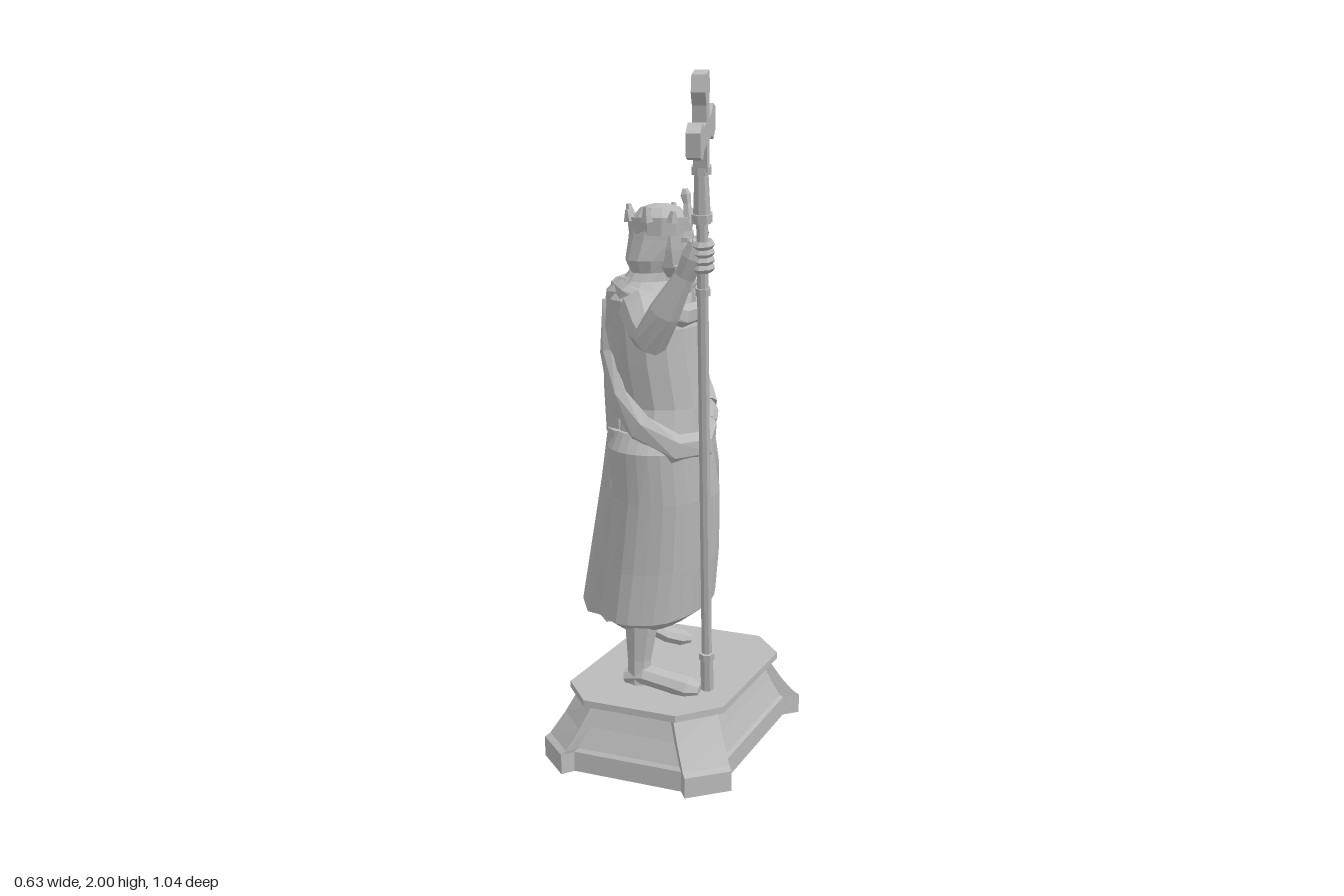
import * as THREE from 'three';

const stone = new THREE.MeshStandardMaterial({ color: 0xbababa });
stone.name = 'grey stone';
const V = (x, y, z) => new THREE.Vector3(x, y, z);

export function createModel() {
  const model = new THREE.Group();

  // Adds a faceted mesh
  function add(name, geometry, parent = model) {
    const g = geometry.index ? geometry.toNonIndexed() : geometry;
    g.computeVertexNormals();
    const mesh = new THREE.Mesh(g, stone);
    mesh.name = name;
    parent.add(mesh);
    return mesh;
  }

  // Skins a list of equal-sized rings and caps both ends
  function loft(rings) {
    const pos = [], n = rings[0].length;
    const tri = (...p) => p.forEach(v => pos.push(v.x, v.y, v.z));
    const middle = r => r.reduce((s, p) => s.add(p), V(0, 0, 0)).divideScalar(n);
    const first = rings[0], last = rings[rings.length - 1];
    const c0 = middle(first), c1 = middle(last);
    for (let i = 0; i < n; i++) {
      const j = (i + 1) % n;
      tri(c0, first[i], first[j]);
      for (let r = 0; r < rings.length - 1; r++) {
        const a = rings[r], b = rings[r + 1];
        tri(a[i], b[i], a[j]);
        tri(a[j], b[i], b[j]);
      }
      tri(c1, last[j], last[i]);
    }
    const g = new THREE.BufferGeometry();
    g.setAttribute('position', new THREE.Float32BufferAttribute(pos, 3));
    return g;
  }

  // Stacked ellipses: [y, cx, cz, rx, rz, pleat depth, hem tilt]
  function stack(sections, n = 14, folds = 7) {
    return loft(sections.map(([y, cx, cz, rx, rz, pleat = 0, tilt = 0]) =>
      Array.from({ length: n }, (_, i) => {
        const a = i / n * Math.PI * 2, k = 1 - pleat * (0.5 - 0.5 * Math.cos(a * folds));
        return V(cx + rx * k * Math.cos(a), y - tilt * Math.sin(a), cz + rz * k * Math.sin(a));
      })));
  }

  // Limb through [x, y, z, radius]; flat scales it along the second axis
  function limb(points, n = 8, flat = 1, side = V(1, 0, 0)) {
    const p = points.map(q => V(q[0], q[1], q[2]));
    return loft(p.map((c, i) => {
      const dir = p[Math.min(i + 1, p.length - 1)].clone().sub(p[Math.max(i - 1, 0)]).normalize();
      const v = side.clone().cross(dir).normalize();
      const u = dir.clone().cross(v);
      return Array.from({ length: n }, (_, k) => {
        const a = k / n * Math.PI * 2, r = points[i][3];
        return c.clone().addScaledVector(u, r * flat * Math.cos(a)).addScaledVector(v, r * Math.sin(a));
      });
    }));
  }

  // Plinth: hollow, with corner buttresses and a chamfered top plate
  const foot = [[0.26, 0.265], [0.30, 0.305], [0.195, 0.403], [0.17, 0.367]];
  const neck = [[0.205, 0.205], [0.222, 0.22], [0.128, 0.33], [0.11, 0.31]];
  const plate = [[0.247, 0.2], [0.247, 0.235], [0.145, 0.353], [0.11, 0.353]];
  function outline(corner, y, s = 1) {
    const out = [];
    for (const [sx, sz] of [[1, 1], [-1, 1], [-1, -1], [1, -1]]) {
      const c = sx * sz > 0 ? corner : [...corner].reverse();
      c.forEach(([x, z]) => out.push(V(-0.01 + sx * x * s, y, -0.118 + sz * z * s)));
    }
    return out;
  }
  const blend = t => foot.map((p, i) => p.map((v, k) => v + (neck[i][k] - v) * t));
  add('plinth', loft([
    outline(neck, 0.19, 0.93), outline(foot, 0, 0.94), outline(foot, 0), outline(foot, 0.06),
    outline(blend(0.15), 0.07), outline(blend(0.58), 0.13), outline(neck, 0.2),
    outline(plate, 0.2), outline(plate, 0.22)]));

  // Skirt with a tucked hem
  add('skirt', stack([
    [0.425, -0.06, -0.085, 0.125, 0.18, 0, 0.025], [0.455, -0.06, -0.093, 0.17, 0.232, 0.03, 0.025],
    [0.6, -0.04, -0.08, 0.17, 0.22, 0.04, 0.015], [0.8, -0.015, -0.05, 0.157, 0.2, 0.03],
    [0.95, -0.018, -0.01, 0.15, 0.17], [1.0, -0.018, -0.015, 0.133, 0.145]], 28));

  // Trailing cloak: fans out from the waist to an angular hem
  const hem = [
    [-0.04, 0.45, 0.06], [-0.07, 0.44, 0.12], [-0.14, 0.42, 0.105], [-0.185, 0.42, 0.055], [-0.24, 0.415, 0.03], [-0.295, 0.425, -0.05],
    [-0.265, 0.375, -0.11], [-0.258, 0.36, -0.19], [-0.185, 0.4, -0.165], [-0.15, 0.43, -0.2], [-0.08, 0.45, -0.15], [-0.04, 0.45, -0.06]];
  add('cloakLower', loft([0, 0.35, 0.7, 1].map(t => hem.map(([x, y, z], i) => {
    const a = (i + 0.5) / 12 * Math.PI * 2;
    return V(x, y, z).lerp(V(-0.095 + 0.08 * Math.cos(a), 1, -0.03 + 0.13 * Math.sin(a)), t);
  }))));
  add('hipDrape', stack([
    [0.72, -0.01, -0.21, 0.1, 0.11, 0.12], [0.86, 0.01, -0.16, 0.1, 0.11, 0.08],
    [1.0, 0.01, -0.1, 0.1, 0.085]], 14));

  // Torso and upper garments
  add('torso', stack([
    [0.96, -0.015, -0.015, 0.13, 0.145], [1.07, -0.015, -0.035, 0.13, 0.14], [1.2, -0.03, -0.025, 0.13, 0.148],
    [1.3, -0.035, -0.02, 0.128, 0.155], [1.38, -0.05, -0.015, 0.11, 0.155], [1.43, -0.05, -0.01, 0.075, 0.1],
    [1.5, -0.02, 0.005, 0.045, 0.05]], 14));
  add('cloakUpper', stack([
    [0.98, -0.11, -0.05, 0.08, 0.125], [1.1, -0.115, -0.055, 0.085, 0.125], [1.3, -0.115, -0.05, 0.085, 0.13],
    [1.4, -0.1, -0.03, 0.075, 0.13], [1.44, -0.08, -0.01, 0.05, 0.09]], 12));
  const up = V(0, 1, 0);
  add('collar', limb([
    [-0.13, 1.41, 0.04, 0.02], [-0.07, 1.395, 0.11, 0.022], [0.02, 1.36, 0.112, 0.022], [0.078, 1.335, 0.045, 0.022],
    [0.08, 1.335, -0.05, 0.022], [0.03, 1.365, -0.125, 0.024], [-0.06, 1.4, -0.14, 0.026], [-0.13, 1.41, -0.06, 0.02]], 6, 1.5, up));
  add('shoulderKnot', new THREE.IcosahedronGeometry(0.05, 1)).position.set(0.0, 1.41, -0.12);
  add('sash', limb([
    [-0.155, 1.37, 0.03, 0.02], [-0.16, 1.22, 0.04, 0.022], [-0.105, 1.1, 0.09, 0.025], [-0.02, 1.02, 0.125, 0.028],
    [0.08, 0.965, 0.11, 0.028], [0.128, 0.96, 0.0, 0.026], [0.1, 0.985, -0.1, 0.026], [0.0, 1.0, -0.16, 0.024]], 6, 1.6, up));

  // Arms
  add('rightArm', limb([
    [-0.045, 1.355, 0.07, 0.066], [0.0, 1.345, 0.15, 0.06], [0.05, 1.315, 0.235, 0.051], [0.085, 1.305, 0.285, 0.048],
    [0.13, 1.38, 0.298, 0.044], [0.19, 1.48, 0.308, 0.027], [0.215, 1.53, 0.31, 0.032], [0.228, 1.57, 0.315, 0.022]], 8, 1, V(1, 0.2, -0.8)));
  add('leftArm', limb([
    [-0.06, 1.36, -0.11, 0.075], [-0.07, 1.37, -0.18, 0.07], [-0.09, 1.29, -0.25, 0.06], [-0.09, 1.2, -0.295, 0.048],
    [-0.045, 1.13, -0.298, 0.047], [0.02, 1.06, -0.265, 0.031], [0.04, 1.03, -0.24, 0.03]], 8));
  add('leftHand', limb([
    [0.025, 1.04, -0.255, 0.03], [0.055, 1.01, -0.225, 0.036], [0.075, 1.0, -0.18, 0.028], [0.085, 1.0, -0.15, 0.014]], 6, 0.7));

  // Staff, collars and cross along a leaning axis
  const base = V(0.145, 0.225, 0.015), tip = V(0.272, 2.0, 0.408);
  const axis = tip.clone().sub(base).normalize();
  const at = y => base.clone().lerp(tip, (y - base.y) / (tip.y - base.y));
  const rod = (name, y0, y1, r0, r1 = r0) =>
    add(name, limb([[...at(y0).toArray(), r0], [...at(y1).toArray(), r1]], 8));
  rod('staff', 0.225, 1.75, 0.016);
  rod('staffFoot', 0.225, 0.34, 0.02);
  rod('staffFootRing', 0.33, 0.35, 0.025);
  rod('staffRing', 1.43, 1.45, 0.021);
  rod('staffSocket', 1.62, 1.75, 0.025, 0.019);
  rod('staffSocketRing', 1.625, 1.645, 0.029);
  rod('staffTopRing', 1.745, 1.765, 0.027);
  const shape = new THREE.Shape();
  for (let k = 0; k < 4; k++) {
    const arm = k === 2 ? [[0.028, 0.028], [0.022, 0.1], [-0.022, 0.1]]
      : [[0.028, 0.028], [0.028, 0.07], [0.046, 0.105], [0.03, 0.145], [-0.03, 0.145], [-0.046, 0.105], [-0.028, 0.07]];
    arm.forEach(([x, y], i) => {
      const c = Math.cos(k * Math.PI / 2), s = Math.sin(k * Math.PI / 2);
      const q = [x * c - y * s, x * s + y * c];
      if (k + i) shape.lineTo(...q); else shape.moveTo(...q);
    });
  }
  const cross = new THREE.ExtrudeGeometry(shape, { depth: 0.036, bevelEnabled: false }).translate(0, 0, -0.018);
  const normal = V(0.25, 0, 0.968).cross(axis).normalize();
  const across = axis.clone().cross(normal);
  cross.applyMatrix4(new THREE.Matrix4().makeBasis(across, axis, normal).setPosition(at(1.85)));
  add('cross', cross);

  // Right fist: four fingers wrapped around the staff
  for (let i = 0; i < 4; i++) {
    const finger = add('rightFinger', new THREE.TorusGeometry(0.022, 0.012, 5, 8));
    finger.position.copy(at(1.505 + i * 0.02));
    finger.quaternion.setFromUnitVectors(V(0, 0, 1), axis);
  }
  add('rightThumb', limb([[0.215, 1.53, 0.3, 0.016], [0.235, 1.575, 0.295, 0.014], [0.25, 1.6, 0.31, 0.009]], 5));

  // Legs and bare feet
  add('rightLeg', limb([[-0.03, 0.55, 0.06, 0.06], [-0.045, 0.42, 0.065, 0.052], [-0.05, 0.31, 0.07, 0.037], [-0.05, 0.235, 0.07, 0.037]]));
  add('rightFoot', limb([
    [-0.09, 0.25, 0.075, 0.03], [-0.03, 0.262, 0.07, 0.042], [0.05, 0.245, 0.06, 0.042], [0.1, 0.235, 0.055, 0.046], [0.135, 0.23, 0.05, 0.025]], 8, 0.75, up));
  add('leftLeg', limb([[-0.08, 0.55, -0.2, 0.06], [-0.12, 0.42, -0.225, 0.048], [-0.17, 0.34, -0.25, 0.033], [-0.185, 0.3, -0.25, 0.034]]));
  add('leftFoot', limb([
    [-0.21, 0.31, -0.235, 0.028], [-0.17, 0.285, -0.26, 0.037], [-0.12, 0.25, -0.295, 0.04], [-0.08, 0.237, -0.32, 0.04], [-0.05, 0.232, -0.335, 0.02]], 8, 0.65, up));

  // Head with hair and beard
  const head = new THREE.Group();
  head.name = 'head';
  model.add(head);
  add('hair', stack([
    [1.455, -0.035, 0.005, 0.055, 0.085], [1.49, -0.035, 0.005, 0.07, 0.102], [1.55, -0.02, 0.005, 0.078, 0.093],
    [1.6, -0.01, 0.005, 0.085, 0.088], [1.635, -0.01, 0.005, 0.055, 0.06], [1.645, -0.01, 0.005, 0.02, 0.02]], 12), head);
  add('face', stack([
    [1.44, 0.04, 0.003, 0.03, 0.03], [1.47, 0.035, 0.003, 0.052, 0.055], [1.52, 0.03, 0.003, 0.06, 0.062],
    [1.57, 0.025, 0.003, 0.062, 0.064]], 10), head);
  add('beard', stack([
    [1.425, 0.07, 0, 0.02, 0.025], [1.45, 0.06, 0, 0.043, 0.05], [1.475, 0.055, 0, 0.045, 0.057], [1.49, 0.06, 0, 0.036, 0.035]], 8), head);
  add('nose', limb([[0.086, 1.55, 0.002, 0.008], [0.1, 1.512, 0.002, 0.014], [0.086, 1.502, 0.002, 0.012]], 4), head);
  for (const s of [-1, 1]) {
    add('brow', new THREE.BoxGeometry(0.02, 0.012, 0.04), head).position.set(0.082, 1.548, 0.003 + s * 0.026);
    add('moustache', limb([[0.096, 1.495, 0.002, 0.011], [0.088, 1.48, s * 0.04, 0.008]], 5), head);
  }

  // Crown: flared band with blunt points and one tall knobbed point in front
  const band = [[0.082, 0], [0.09, 0], [0.096, 0.05], [0.087, 0.05], [0.082, 0]].map(p => new THREE.Vector2(...p));
  add('crownBand', new THREE.LatheGeometry(band, 14), head).position.set(-0.01, 1.56, 0.005);
  for (let i = 1; i < 8; i++) {
    const a = i / 8 * Math.PI * 2, h = i % 2 ? 0.03 : 0.042;
    const x = Math.cos(a), z = Math.sin(a);
    add('crownPoint', limb([
      [-0.01 + x * 0.09, 1.6, 0.005 + z * 0.09, 0.019],
      [-0.01 + x * 0.098, 1.6 + h, 0.005 + z * 0.098, 0.007]], 5), head);
  }
  add('crownFrontPoint', limb([
    [0.075, 1.59, 0.0, 0.018], [0.068, 1.645, -0.005, 0.011], [0.062, 1.67, -0.008, 0.016], [0.06, 1.687, -0.008, 0.008]], 6), head);
  return model;
}
